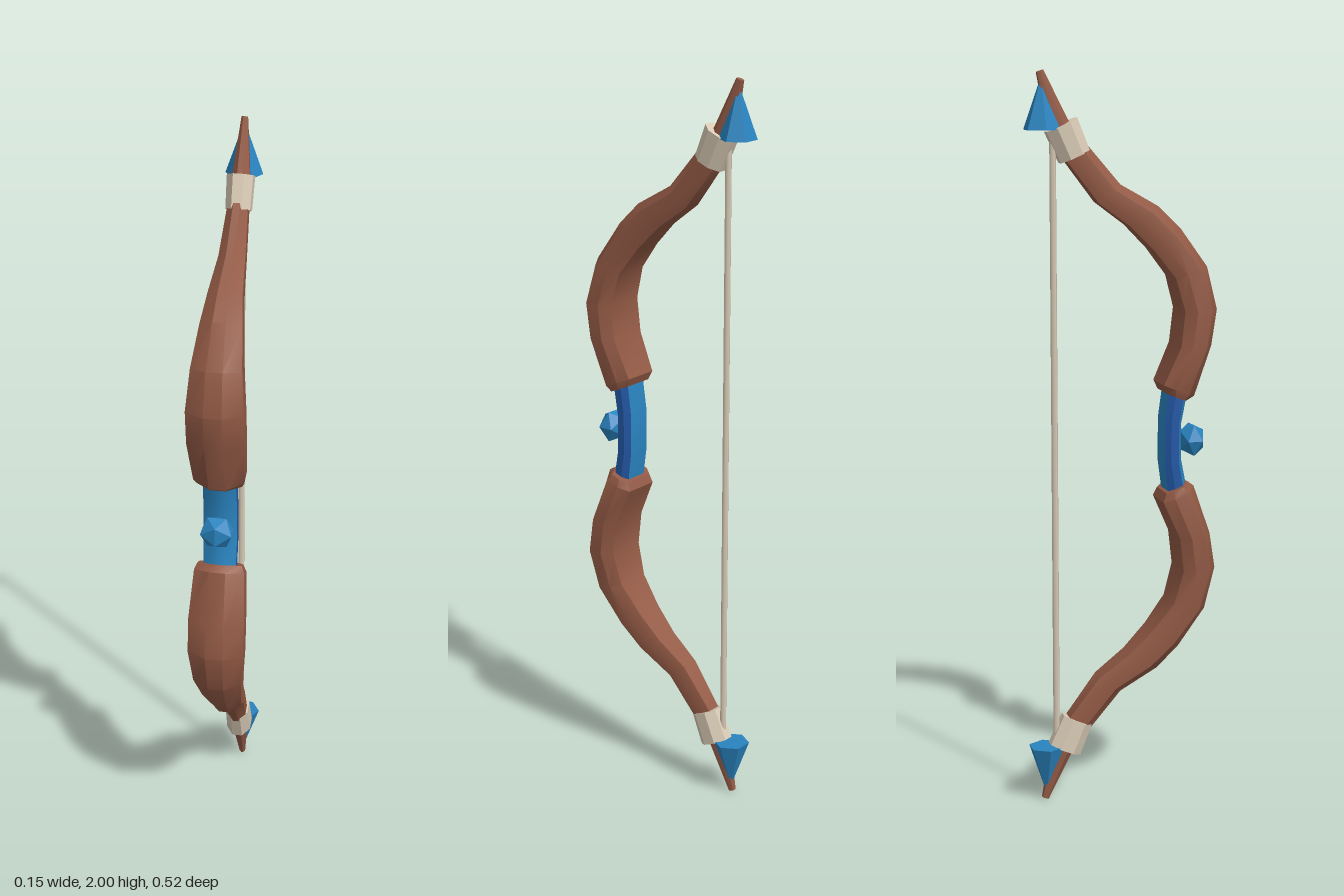
import * as THREE from 'three';
import { toCreasedNormals } from 'three/addons/utils/BufferGeometryUtils.js';

// Half of the cross-section: [fraction of half width, depth from front (0) to back (1)]
const HALF = [[0.32, 0], [1, 0.3], [1, 0.7], [0.74, 1]];
const SECTION = [...HALF, ...HALF.map(([u, t]) => [-u, t]).reverse()];

// Skin rings of [frontZ, frontY, backZ, backY, halfWidth]; sideMaterial gives one index per side
function loft(rings, sideMaterial = () => 0) {
  const n = SECTION.length, pos = [], index = [];
  for (const [fz, fy, bz, by, w] of rings)
    for (const [u, t] of SECTION) pos.push(u * w, fy + (by - fy) * t, fz + (bz - fz) * t);
  const g = new THREE.BufferGeometry();
  for (let j = 0; j < n; j++) {
    const k = (j + 1) % n, start = index.length;
    for (let i = 0; i < rings.length - 1; i++) {
      const a = i * n, b = a + n;
      index.push(a + j, a + k, b + k, a + j, b + k, b + j);
    }
    g.addGroup(start, index.length - start, sideMaterial(j));
  }
  // End caps
  const start = index.length, top = (rings.length - 1) * n;
  for (let j = 1; j < n - 1; j++) index.push(0, j + 1, j, top, top + j, top + j + 1);
  g.addGroup(start, index.length - start, 0);
  g.setAttribute('position', new THREE.Float32BufferAttribute(pos, 3));
  g.setIndex(index);
  return toCreasedNormals(g, 0.55);
}

export function createModel() {
  const mat = (name, color) => {
    const m = new THREE.MeshStandardMaterial({ color });
    m.name = name;
    return m;
  };
  const wood = mat('brown wood', 0x935a45);
  const blue = mat('blue', 0x2a84c0);
  const darkBlue = mat('deep blue', 0x2358a6);
  const cream = mat('cream cord', 0xd8cab5);

  const model = new THREE.Group();
  model.name = 'bow';
  const add = (parent, name, geometry, material, x = 0, y = 0, z = 0) => {
    const m = new THREE.Mesh(geometry, material);
    m.name = name;
    m.position.set(x, y, z);
    parent.add(m);
    return m;
  };

  // Curved limb, heights measured from the bow's middle
  const limbGeo = loft([
    [0.175, 0.112, 0.112, 0.138, 0.060],
    [0.196, 0.125, 0.102, 0.162, 0.068],
    [0.243, 0.262, 0.148, 0.265, 0.076],
    [0.258, 0.360, 0.159, 0.360, 0.076],
    [0.230, 0.476, 0.134, 0.450, 0.067],
    [0.156, 0.580, 0.076, 0.525, 0.055],
    [0.095, 0.640, 0.012, 0.590, 0.045],
    [-0.010, 0.700, -0.072, 0.652, 0.035],
    [-0.095, 0.800, -0.160, 0.767, 0.027],
    [-0.150, 0.870, -0.203, 0.850, 0.022],
    [-0.214, 0.998, -0.232, 0.992, 0.008],
  ]);
  const wrapGeo = toCreasedNormals(new THREE.CylinderGeometry(0.049, 0.046, 0.09, 8)
    .rotateY(Math.PI / 8).scale(0.76, 1, 1), 0.4);
  const spikeGeo = toCreasedNormals(new THREE.ConeGeometry(0.05, 0.14, 6).rotateY(Math.PI / 6), 0.3);

  // The lower half is the upper one turned upside down
  for (const [name, turn] of [['upperLimb', 0], ['lowerLimb', Math.PI]]) {
    const half = new THREE.Group();
    half.name = name;
    half.position.y = 1;
    half.rotation.z = turn;
    add(half, 'limb', limbGeo, wood);
    add(half, 'wrap', wrapGeo, cream, 0, 0.815, -0.15).rotation.x = -0.41;
    add(half, 'spike', spikeGeo, blue, 0, 0.914, -0.219);
    model.add(half);
  }

  // Grip with deeper blue sides
  const gripGeo = loft([
    [0.178, 0.87, 0.122, 0.85, 0.044],
    [0.162, 0.95, 0.110, 0.94, 0.045],
    [0.162, 1.05, 0.110, 1.06, 0.045],
    [0.178, 1.13, 0.122, 1.15, 0.044],
  ], j => ([1, 2, 4, 5].includes(j) ? 1 : 0));
  add(model, 'grip', gripGeo, [blue, darkBlue]);

  // Faceted gem on the front of the grip
  add(model, 'gem', new THREE.IcosahedronGeometry(0.049, 0), blue, 0, 1, 0.196).scale.z = 0.8;

  // String between the two wraps
  add(model, 'string', new THREE.CylinderGeometry(0.009, 0.009, 1.64, 6), cream, 0, 1, -0.19);
  return model;
}
